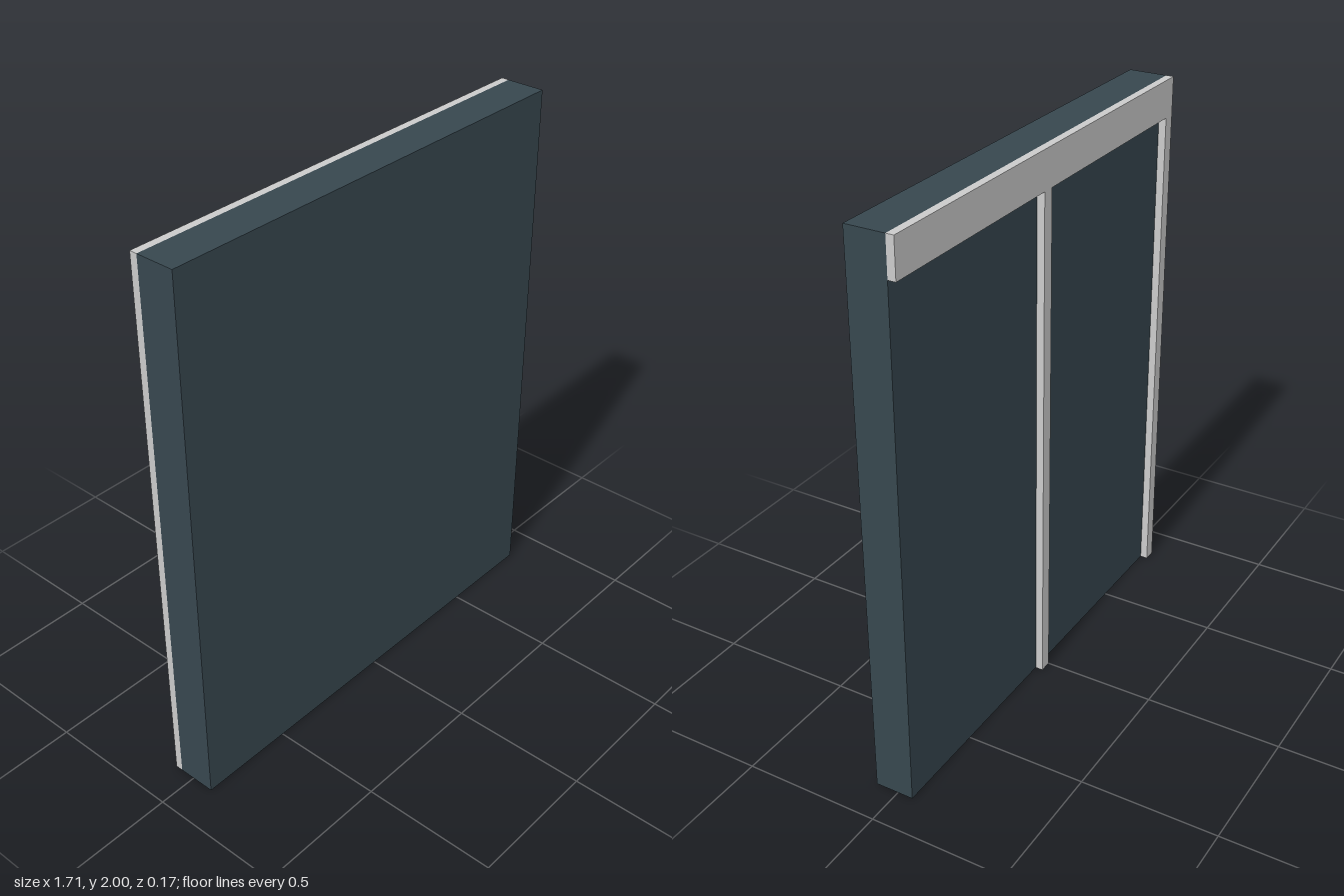
import * as THREE from 'three';

export function createModel() {
  const group = new THREE.Group();
  const dark = new THREE.MeshStandardMaterial({ color: 0x37474f });
  const grey = new THREE.MeshStandardMaterial({ color: 0xcccccc });

  const halfWidth = 0.855, height = 2;
  const front = 0.085, panelBack = -0.057, back = -0.085;
  const railHeight = 0.138, battenWidth = 0.046;

  // Box given by its lower and upper corner
  function box(name, material, [x0, y0, z0], [x1, y1, z1]) {
    const mesh = new THREE.Mesh(new THREE.BoxGeometry(x1 - x0, y1 - y0, z1 - z0), material);
    mesh.position.set((x0 + x1) / 2, (y0 + y1) / 2, (z0 + z1) / 2);
    mesh.name = name;
    group.add(mesh);
  }

  // Solid wall panel
  box('panel', dark, [-halfWidth, 0, panelBack], [halfWidth, height, front]);

  // Rail along the top of the back
  const railBottom = height - railHeight;
  box('topRail', grey, [-halfWidth, railBottom, back], [halfWidth, height, panelBack]);

  // Upright battens, each starting at an even spacing from the right edge
  [-halfWidth, 0].forEach((x, i) => {
    box(['edgeBatten', 'middleBatten'][i], grey, [x, 0, back], [x + battenWidth, railBottom, panelBack]);
  });

  return group;
}
